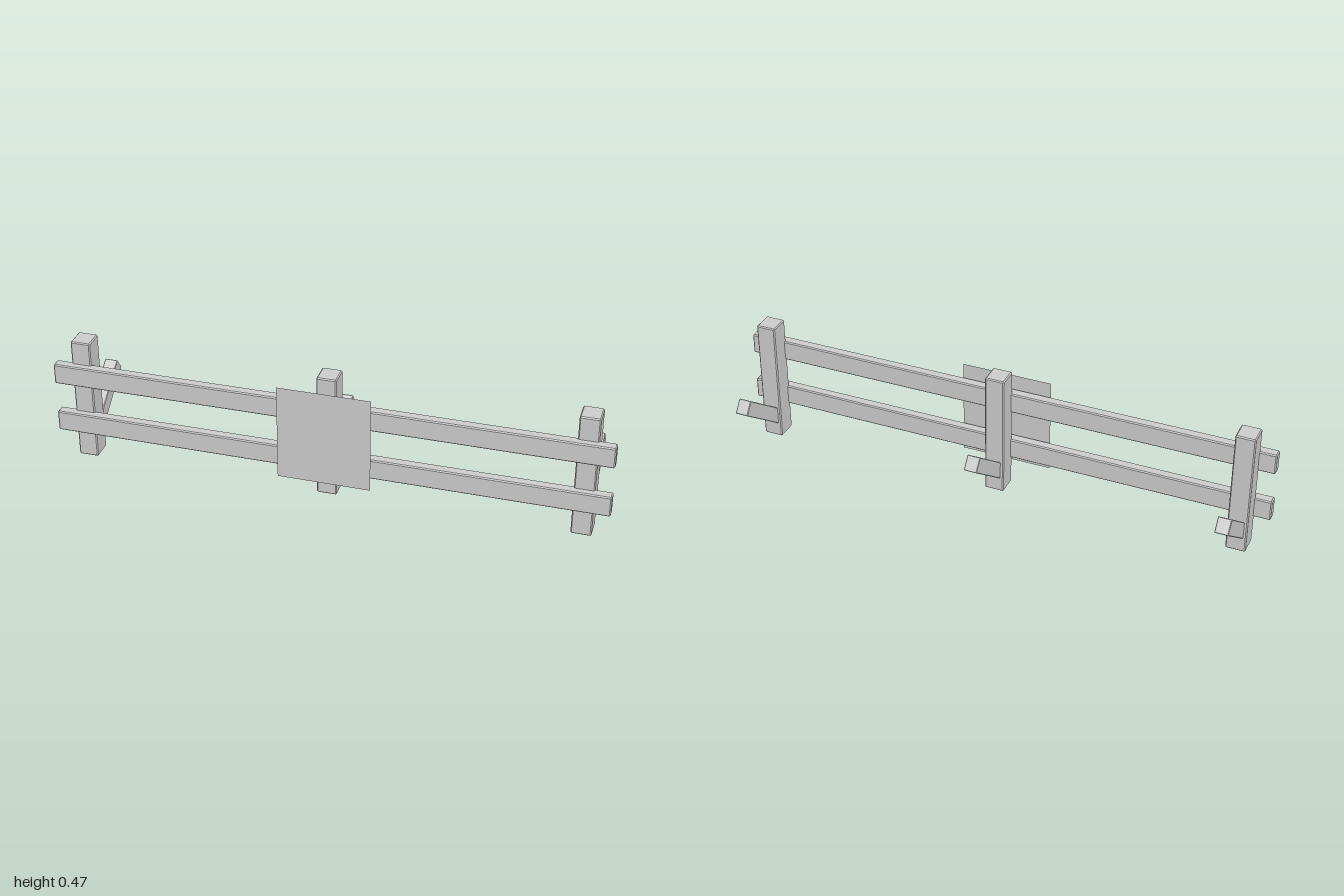
import * as THREE from 'three';
import { ConvexGeometry } from 'three/addons/geometries/ConvexGeometry.js';

const lightGrey = new THREE.MeshStandardMaterial({ color: 0xcccccc, side: THREE.DoubleSide });
lightGrey.name = 'lightGrey';

// Box with a narrow flat chamfer on every edge
function chamferBox(w, h, d, c = 0.004) {
  const points = [];
  for (const sx of [-1, 1]) for (const sy of [-1, 1]) for (const sz of [-1, 1]) {
    const x = w / 2, y = h / 2, z = d / 2;
    points.push(
      new THREE.Vector3(sx * x, sy * (y - c), sz * (z - c)),
      new THREE.Vector3(sx * (x - c), sy * y, sz * (z - c)),
      new THREE.Vector3(sx * (x - c), sy * (y - c), sz * z)
    );
  }
  return new ConvexGeometry(points);
}

export function createModel() {
  const model = new THREE.Group();
  model.name = 'barrier';

  const add = (name, geometry, x, y, z) => {
    const mesh = new THREE.Mesh(geometry, lightGrey);
    mesh.name = name;
    mesh.position.set(x, y, z);
    model.add(mesh);
    return mesh;
  };

  // Three posts, each with a sloping brace behind
  const post = chamferBox(0.072, 0.466, 0.078);
  const brace = chamferBox(0.048, 0.056, 0.28, 0.002);
  for (const x of [-0.903, 0, 0.903]) {
    add('post', post, x, 0.233, 0.088);
    add('brace', brace, x, 0.154, -0.035).rotation.x = 0.648;
  }

  // Two long rails across the front of the posts
  const rail = chamferBox(2, 0.077, 0.038);
  add('lowerRail', rail, 0, 0.147, 0.134);
  add('upperRail', rail, 0, 0.34, 0.134);

  // Thin sign panel just in front of the rails
  add('signPanel', new THREE.PlaneGeometry(0.336, 0.36), 0, 0.247, 0.163);

  return model;
}
